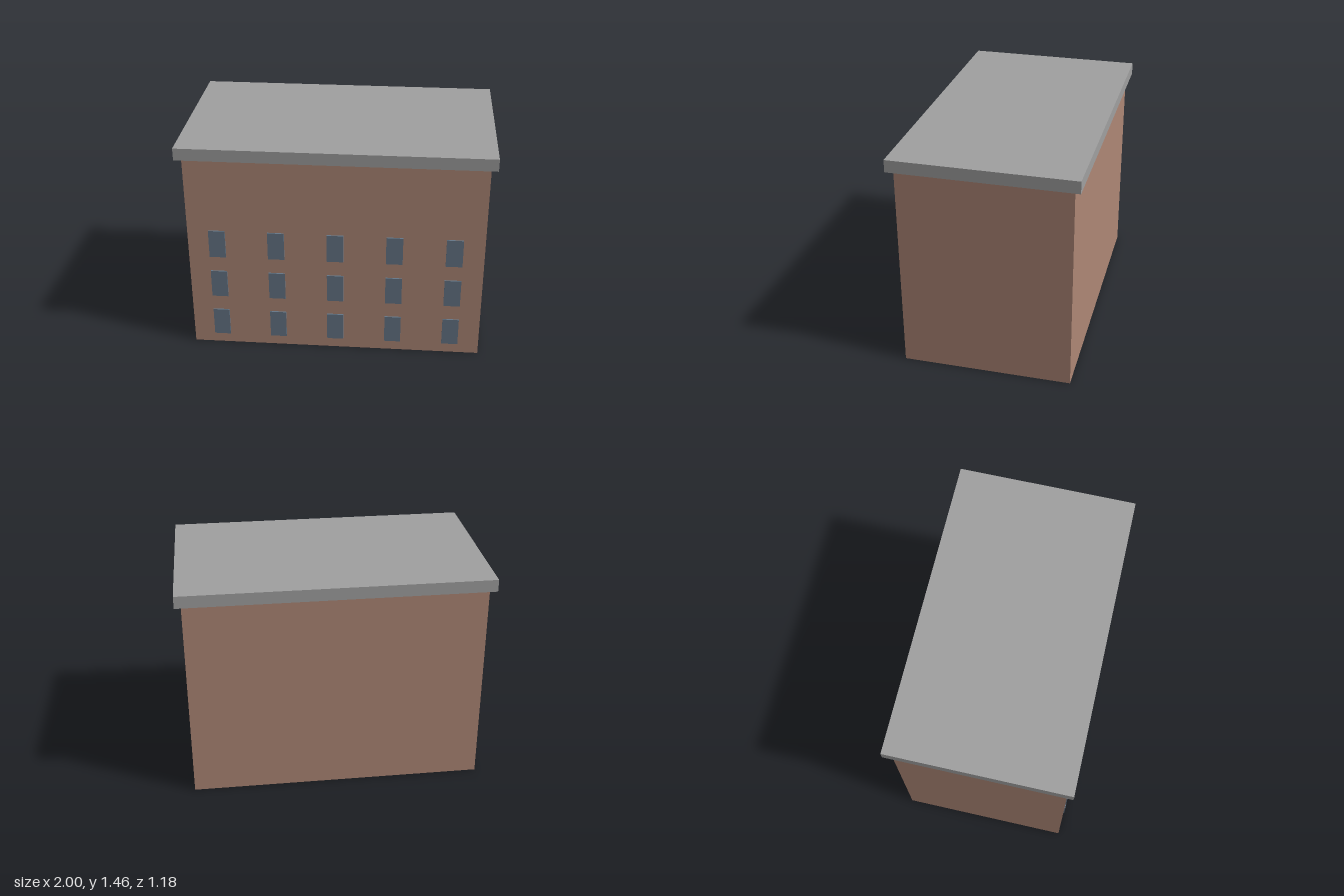
import * as THREE from 'three';

export function createModel() {
  const building = new THREE.Group();
  building.name = 'building';

  const material = (name, color) => {
    const m = new THREE.MeshStandardMaterial({ color });
    m.name = name;
    return m;
  };
  const brick = material('brick', 0xae8776);
  const concrete = material('concrete', 0xa0a0a0);
  const glass = material('blue grey glass', 0x667788);

  const addBox = (name, mat, [w, h, d], [x, y, z], parent = building) => {
    const mesh = new THREE.Mesh(new THREE.BoxGeometry(w, h, d), mat);
    mesh.name = name;
    mesh.position.set(x, y, z);
    parent.add(mesh);
  };

  // Main block and overhanging flat roof
  addBox('walls', brick, [1.92, 1.375, 1.1], [0, 0.6875, 0]);
  addBox('roof', concrete, [2, 0.08, 1.18], [0, 1.415, 0]);

  // Three floors of five windows on the front wall
  const windows = new THREE.Group();
  windows.name = 'windows';
  building.add(windows);
  for (let floor = 0; floor < 3; floor++) {
    for (let column = -2; column <= 2; column++) {
      addBox(`window${floor + 1}_${column + 3}`, glass, [0.108, 0.193, 0.0095],
        [column * 0.384, 0.167 + floor * 0.301, 0.55475], windows);
    }
  }

  return building;
}
